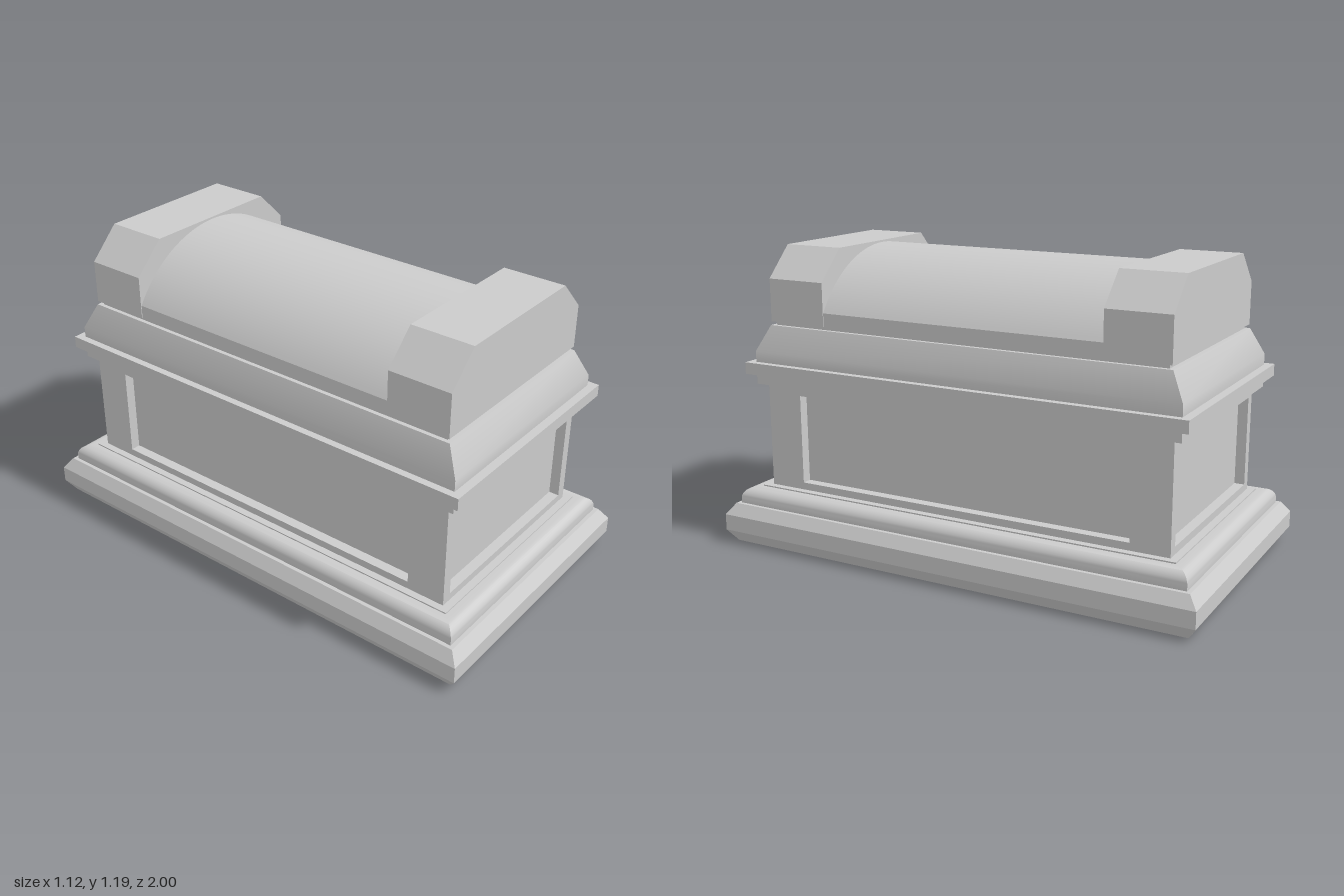
import * as THREE from 'three';
import { toCreasedNormals } from 'three/addons/utils/BufferGeometryUtils.js';

const material = new THREE.MeshStandardMaterial({ color: 0xcccccc, side: THREE.DoubleSide });

function mesh(name, geometry) {
  const m = new THREE.Mesh(geometry, material);
  m.name = name;
  return m;
}

// Mitred rectangular moulding: each profile point is [half width, half depth, height], bottom to top
function ring(profile) {
  const pos = [];
  const corners = [[1, 1], [1, -1], [-1, -1], [-1, 1]];
  const at = ([x, z, y], [sx, sz]) => [x * sx, y, z * sz];
  for (let i = 0; i < profile.length - 1; i++) {
    for (let c = 0; c < 4; c++) {
      const a = at(profile[i], corners[c]);
      const b = at(profile[i], corners[(c + 1) % 4]);
      const d = at(profile[i + 1], corners[c]);
      const e = at(profile[i + 1], corners[(c + 1) % 4]);
      pos.push(...a, ...b, ...e, ...a, ...e, ...d);
    }
  }
  const g = new THREE.BufferGeometry();
  g.setAttribute('position', new THREE.Float32BufferAttribute(pos, 3));
  return toCreasedNormals(g, 0.5);
}

// Wall sheet with a recessed rectangular panel, facing +z at the given distance
function panelWall(name, halfWidth, panelHalf, distance) {
  const [y0, y1, p0, p1, recess] = [0.228, 0.648, 0.257, 0.613, 0.04];
  const rect = (T, w, a, b) => new T([[-w, a], [w, a], [w, b], [-w, b]].map(p => new THREE.Vector2(...p)));
  const shape = rect(THREE.Shape, halfWidth, y0, y1);
  shape.holes.push(rect(THREE.Path, panelHalf, p0, p1));
  const group = new THREE.Group();
  group.name = name;

  const frame = mesh('panelFrame', new THREE.ShapeGeometry(shape));
  frame.position.z = distance;

  const h = (p1 - p0) / 2, mid = (p0 + p1) / 2;
  const reveal = mesh('panelReveal', ring([[panelHalf, h, 0], [panelHalf, h, -recess]]));
  reveal.rotation.x = Math.PI / 2;
  reveal.position.set(0, mid, distance);

  const panel = mesh('panel', new THREE.PlaneGeometry(panelHalf * 2, h * 2));
  panel.position.set(0, mid, distance - recess);
  group.add(frame, reveal, panel);
  return group;
}

export function createModel() {
  const model = new THREE.Group();
  model.name = 'sarcophagus';

  // Stepped plinth with a rounded roll on top
  const base = [[0.527, 0.966, 0], [0.56, 1, 0.05], [0.56, 1, 0.115], [0.53, 0.966, 0.16], [0.515, 0.95, 0.16]];
  for (let i = 0; i <= 8; i++) {
    const t = (i / 8) * Math.PI / 2;
    const inset = 0.045 * (1 - Math.cos(t));
    base.push([0.515 - inset, 0.95 - inset, 0.18 + 0.043 * Math.sin(t)]);
  }
  base.push([0.453, 0.885, 0.223], [0.453, 0.885, 0.228], [0.425, 0.855, 0.228]);
  model.add(mesh('base', ring(base)));

  // Four panelled walls
  for (let i = 0; i < 4; i++) {
    const end = i % 2 === 0;
    const wall = end
      ? panelWall('endWall', 0.425, 0.385, 0.855)
      : panelWall('sideWall', 0.855, 0.703, 0.425);
    wall.rotation.y = i * Math.PI / 2;
    model.add(wall);
  }

  // Cornice, sloping lid and narrow neck
  model.add(mesh('lidMoulding', ring([
    [0.425, 0.855, 0.648], [0.453, 0.89, 0.648], [0.453, 0.89, 0.69], [0.481, 0.923, 0.69],
    [0.481, 0.923, 0.737], [0.453, 0.89, 0.737], [0.453, 0.89, 0.78], [0.416, 0.838, 0.883],
    [0.4, 0.82, 0.883], [0.4, 0.82, 0.898],
  ])));

  // Chamfered blocks at both ends of the lid
  const blockShape = new THREE.Shape([
    [-0.415, 0.898], [0.415, 0.898], [0.415, 1.067], [0.294, 1.188], [-0.294, 1.188], [-0.415, 1.067],
  ].map(p => new THREE.Vector2(...p)));
  for (const z of [0.585, -0.835]) {
    const block = mesh('lidEndBlock', new THREE.ExtrudeGeometry(blockShape, { depth: 0.25, bevelEnabled: false }));
    block.position.z = z;
    model.add(block);
  }

  // Barrel vault between the blocks
  const w = 0.412, spring = 0.95, rise = 0.23;
  const r = (w * w + rise * rise) / (2 * rise);
  const half = Math.asin(w / r);
  const vaultShape = new THREE.Shape();
  vaultShape.moveTo(-w, 0.898);
  vaultShape.lineTo(w, 0.898);
  vaultShape.lineTo(w, spring);
  vaultShape.absarc(0, spring + rise - r, r, Math.PI / 2 - half, Math.PI / 2 + half, false);
  const vault = new THREE.ExtrudeGeometry(vaultShape, { depth: 1.17, bevelEnabled: false, curveSegments: 32 });
  vault.translate(0, 0, -0.585);
  model.add(mesh('lidVault', toCreasedNormals(vault, 0.4)));

  return model;
}
